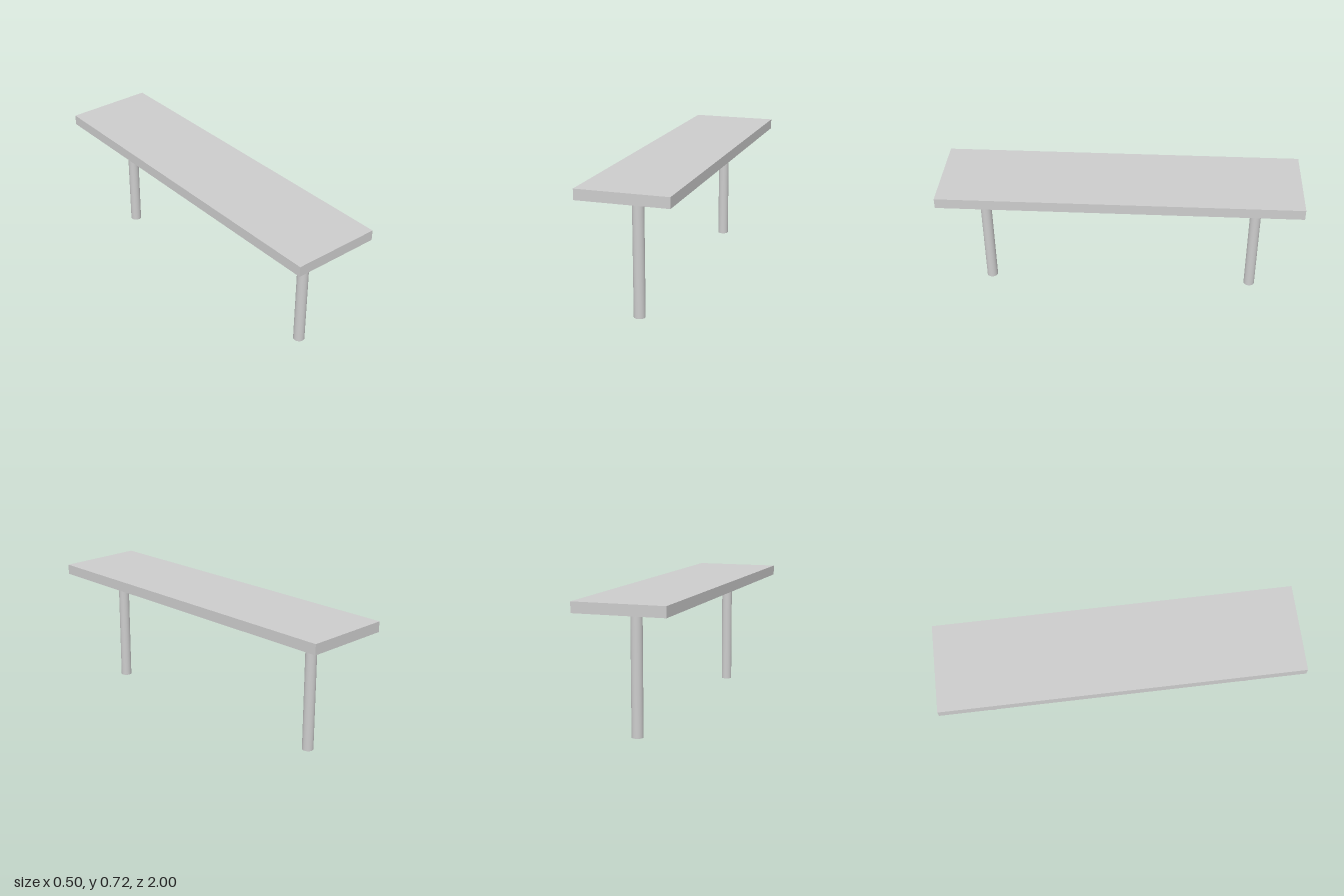
import * as THREE from 'three';

export function createModel() {
  const model = new THREE.Group();
  model.name = 'bench';
  const material = new THREE.MeshStandardMaterial({ color: 0xcccccc });

  const legHeight = 0.665;
  const seatThickness = 0.058;

  // Long flat seat plank
  const seat = new THREE.Mesh(new THREE.BoxGeometry(0.5, seatThickness, 2), material);
  seat.name = 'seat';
  seat.position.y = legHeight + seatThickness / 2;
  model.add(seat);

  // Two round posts on the centre line
  const legGeometry = new THREE.CylinderGeometry(0.031, 0.031, legHeight, 32);
  for (const [name, z] of [['frontLeg', 0.774], ['backLeg', -0.763]]) {
    const leg = new THREE.Mesh(legGeometry, material);
    leg.name = name;
    leg.position.set(0, legHeight / 2, z);
    model.add(leg);
  }

  return model;
}
